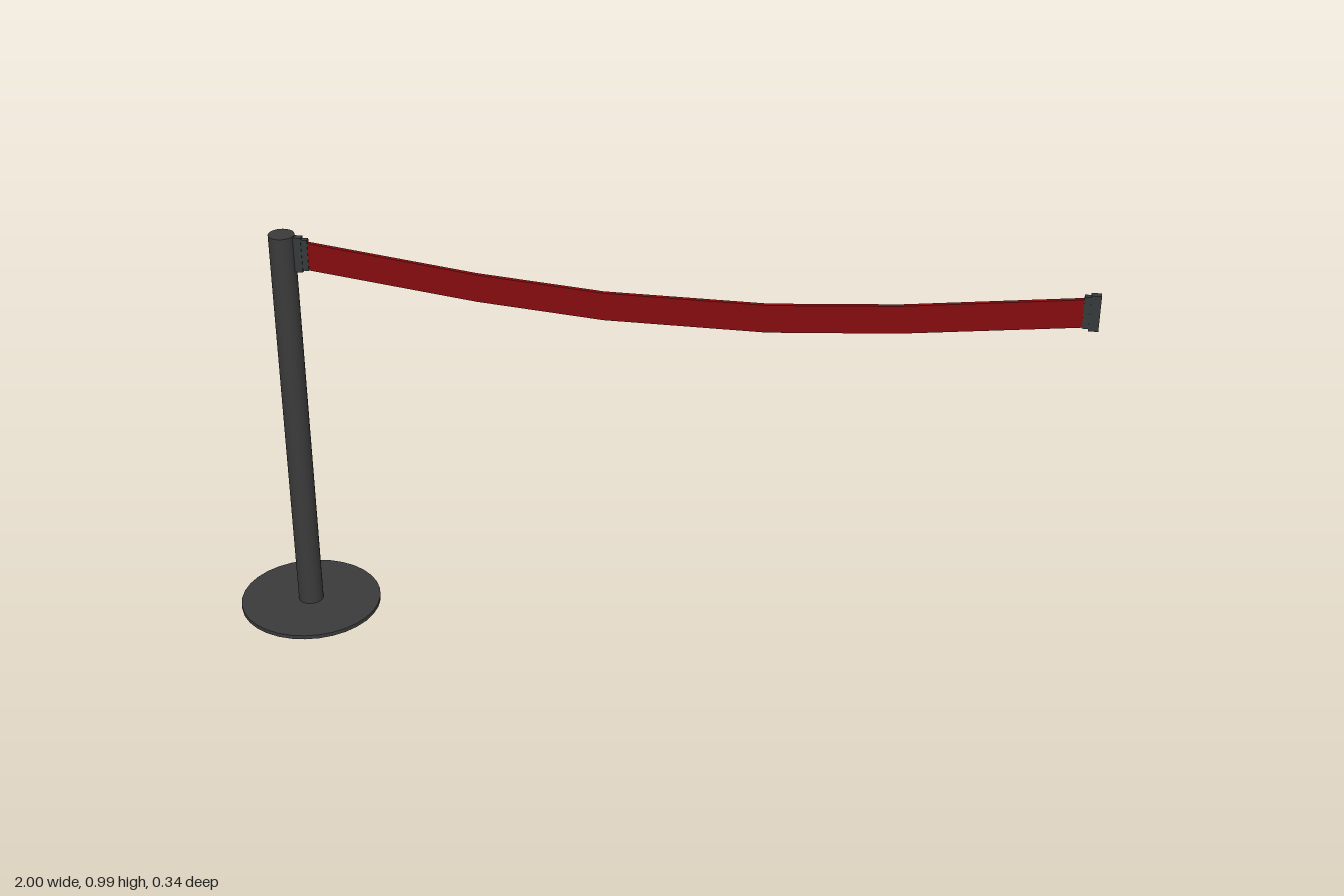
import * as THREE from 'three';

export function createModel() {
  const group = new THREE.Group();
  const metal = new THREE.MeshStandardMaterial({ color: 0x3b3b3b });
  metal.name = 'dark grey metal';
  const plastic = new THREE.MeshStandardMaterial({ color: 0x363a3a });
  plastic.name = 'clip grey';
  const red = new THREE.MeshStandardMaterial({ color: 0x860c0e, flatShading: true });
  red.name = 'belt red';

  const add = (name, geometry, material, x, y, z = 0) => {
    const mesh = new THREE.Mesh(geometry, material);
    mesh.name = name;
    mesh.position.set(x, y, z);
    group.add(mesh);
    return mesh;
  };

  // Weighted disc and upright post
  const postX = -0.83;
  add('base', new THREE.CylinderGeometry(0.17, 0.17, 0.01, 32), metal, postX, 0.005);
  add('post', new THREE.CylinderGeometry(0.03, 0.03, 0.982, 32), metal, postX, 0.499);

  // Sagging belt: straight segments, symmetric about the middle of the span
  const mid = 0.095;
  const half = [[0.185, 0.871], [0.475, 0.893], [0.885, 0.943]];
  const line = [
    ...half.map(([dx, y]) => [mid - dx, y]).reverse(),
    ...half.map(([dx, y]) => [mid + dx, y]),
  ];
  const h = 0.0335;
  const outline = [
    ...line.map(([x, y]) => new THREE.Vector2(x, y - h)),
    ...line.map(([x, y]) => new THREE.Vector2(x, y + h)).reverse(),
  ];
  const belt = new THREE.ExtrudeGeometry(new THREE.Shape(outline), { depth: 0.01, bevelEnabled: false });
  add('belt', belt, red, 0, 0, -0.005);

  // End clips: a tall plate with a slightly shorter collar around the belt
  for (const [name, x, inward] of [['postClip', -0.794, 1], ['freeClip', 0.989, -1]]) {
    add(name, new THREE.BoxGeometry(0.022, 0.085, 0.016), plastic, x, 0.944);
    add(name + 'Collar', new THREE.BoxGeometry(0.016, 0.076, 0.013), plastic, x + inward * 0.017, 0.944);
  }
  return group;
}
